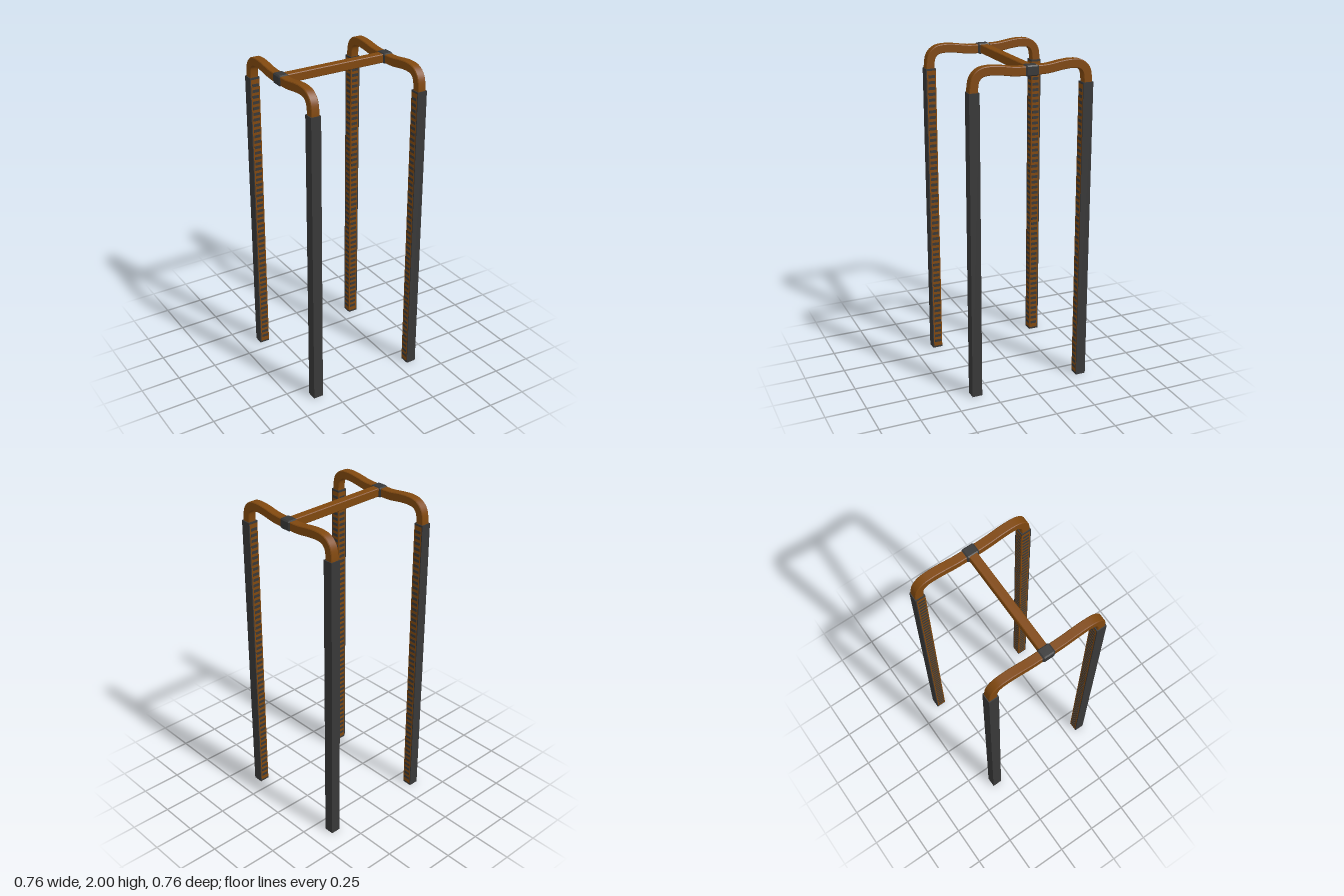
import * as THREE from 'three';
import { toCreasedNormals } from 'three/addons/utils/BufferGeometryUtils.js';

const brown = new THREE.MeshStandardMaterial({ name: 'brown paint', color: 0x80480f });
const dark = new THREE.MeshStandardMaterial({ name: 'dark grey steel', color: 0x383838 });

const LEG = 0.348;     // leg centre offset in x and z
const SIZE = 0.062;    // leg width
const LEG_TOP = 1.86;
const BAR_Y = 1.955;   // centre height of the crossbar

// Square section with slightly cut corners
function section(w, h, c) {
  const x = w / 2, y = h / 2;
  return new THREE.Shape([
    [x - c, -y], [x, -y + c], [x, y - c], [x - c, y],
    [-x + c, y], [-x, y - c], [-x, -y + c], [-x + c, -y],
  ].map(([a, b]) => new THREE.Vector2(a, b)));
}

function add(parent, name, geometry, material, x = 0, y = 0, z = 0) {
  const mesh = new THREE.Mesh(geometry, material);
  mesh.name = name;
  mesh.position.set(x, y, z);
  parent.add(mesh);
  return mesh;
}

// Leg: brown core, dark outer plates and end caps, dark rungs on the two inner faces
function makeLeg(sx, sz) {
  const leg = new THREE.Group();
  leg.name = 'leg';
  const t = 0.006, cap = 0.012, inner = SIZE - t;
  const mid = LEG_TOP / 2;
  add(leg, 'legCore', new THREE.BoxGeometry(inner, LEG_TOP - 2 * cap, inner), brown, -sx * t / 2, mid, -sz * t / 2);
  add(leg, 'outerSidePlate', new THREE.BoxGeometry(t, LEG_TOP, SIZE), dark, sx * inner / 2, mid, 0);
  add(leg, 'outerEndPlate', new THREE.BoxGeometry(inner, LEG_TOP, t), dark, -sx * t / 2, mid, sz * inner / 2);
  for (const y of [cap / 2, LEG_TOP - cap / 2]) {
    add(leg, 'legCap', new THREE.BoxGeometry(inner, cap, inner), dark, -sx * t / 2, y, -sz * t / 2);
  }
  const count = 50, pitch = (LEG_TOP - 0.06) / count;
  const sideRung = new THREE.BoxGeometry(0.003, pitch * 0.5, 0.042);
  const endRung = new THREE.BoxGeometry(0.042, pitch * 0.5, 0.003);
  for (let i = 0; i < count; i++) {
    const y = 0.03 + (i + 0.5) * pitch;
    add(leg, 'sideRung', sideRung, dark, -sx * SIZE / 2, y, -sz * t / 2);
    add(leg, 'endRung', endRung, dark, -sx * t / 2, y, -sz * SIZE / 2);
  }
  leg.position.set(sx * LEG, 0, sz * LEG);
  return leg;
}

// Bent side rail running from front leg to back leg
function railGeometry() {
  const half = [
    [LEG, 1.82], [LEG, 1.88], [0.336, 1.935], [0.302, 1.966],
    [0.25, 1.974], [0.19, 1.97], [0.1, 1.957],
  ];
  const all = [...half, [0, BAR_Y], ...half.map(([z, y]) => [-z, y]).reverse()];
  const path = new THREE.CatmullRomCurve3(all.map(([z, y]) => new THREE.Vector3(0, y, z)));
  const geometry = new THREE.ExtrudeGeometry(section(0.052, 0.052, 0.004), {
    steps: 80, bevelEnabled: false, extrudePath: path,
  });
  return toCreasedNormals(geometry, 0.6);
}

export function createModel() {
  const model = new THREE.Group();
  model.name = 'frame';

  for (const sx of [1, -1]) {
    for (const sz of [1, -1]) model.add(makeLeg(sx, sz));
  }

  // Side rails and the sleeves that join them to the crossbar
  const rail = railGeometry();
  const sleeve = new THREE.ExtrudeGeometry(section(0.052, 0.05, 0.004), {
    depth: 0.06, bevelThickness: 0.01, bevelSize: 0.006, bevelSegments: 1,
  });
  sleeve.translate(0, 0, -0.03);
  for (const sx of [1, -1]) {
    add(model, 'sideRail', rail, brown, sx * LEG);
    add(model, 'sleeve', sleeve, dark, sx * LEG, BAR_Y, 0);
  }

  // Crossbar
  const bar = new THREE.ExtrudeGeometry(section(0.052, 0.052, 0.004), { depth: 2 * LEG, bevelEnabled: false });
  bar.translate(0, 0, -LEG);
  bar.rotateY(Math.PI / 2);
  add(model, 'crossbar', bar, brown, 0, BAR_Y, 0);

  return model;
}
